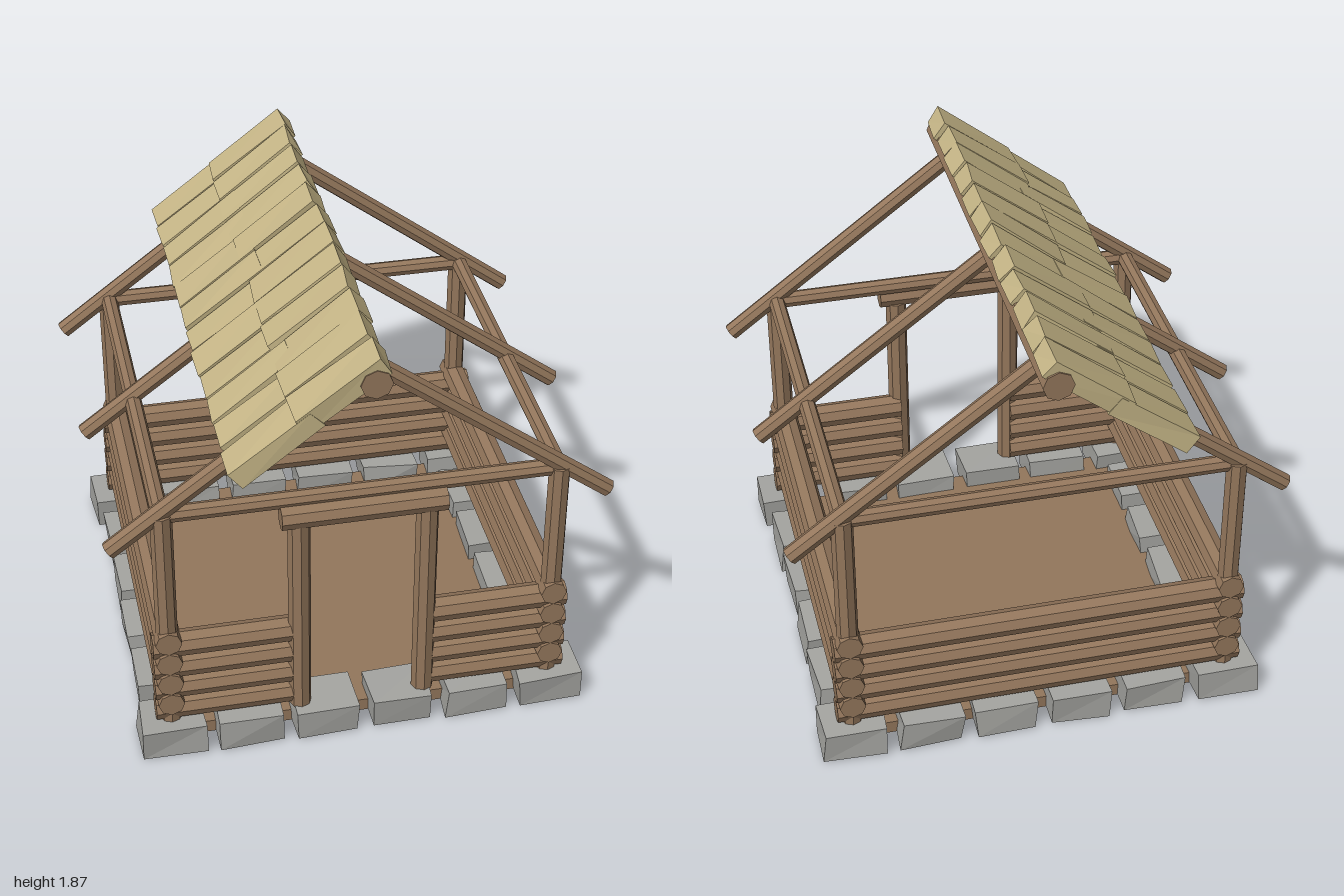
import * as THREE from 'three';

export function createModel() {
  const model = new THREE.Group();
  const mat = (name, color) => {
    const m = new THREE.MeshStandardMaterial({ color, flatShading: true });
    m.name = name;
    return m;
  };
  const wood = mat('wood', 0x94775c);
  const stone = mat('stone', 0xa6a6a2);
  const shingle = mat('shingle', 0xc6b687);

  let seed = 7;
  const rand = () => {
    seed = (seed * 16807) % 2147483647;
    return seed / 2147483647 - 0.5;
  };
  const add = (name, geo, material) => {
    const mesh = new THREE.Mesh(geo, material);
    mesh.name = name;
    model.add(mesh);
    return mesh;
  };

  // Eight-sided log between two points
  const up = new THREE.Vector3(0, 1, 0);
  const log = (name, from, to, r) => {
    const a = new THREE.Vector3(...from), b = new THREE.Vector3(...to);
    const dir = b.clone().sub(a);
    const mesh = add(name, new THREE.CylinderGeometry(r, r, dir.length(), 8), wood);
    mesh.position.copy(a).add(b).multiplyScalar(0.5);
    mesh.quaternion.setFromUnitVectors(up, dir.normalize());
    return mesh;
  };

  // Box with its eight corners nudged for a hand-cut look
  const roughBox = (w, h, d, jx, jy, jz) => {
    const geo = new THREE.BoxGeometry(w, h, d);
    const p = geo.attributes.position;
    const nudge = Array.from({ length: 8 }, () => [rand() * jx, rand() * jy, rand() * jz]);
    for (let i = 0; i < p.count; i++) {
      const k = (p.getX(i) > 0 ? 1 : 0) + (p.getY(i) > 0 ? 2 : 0) + (p.getZ(i) > 0 ? 4 : 0);
      p.setXYZ(i, p.getX(i) + nudge[k][0], p.getY(i) + nudge[k][1], p.getZ(i) + nudge[k][2]);
    }
    geo.computeVertexNormals();
    return geo;
  };

  // Floor slab
  add('floor', new THREE.BoxGeometry(1.52, 0.055, 1.52), wood).position.y = 0.03;

  // Foundation stones: six along front and back, four between on each side
  for (const s of [-1, 1]) {
    for (let i = 0; i < 6; i++) {
      add('foundationStone', roughBox(0.25, 0.132, 0.2, 0.02, 0.01, 0.02), stone)
        .position.set(-0.77 + i * 0.308, 0.069, s * 0.77);
    }
    for (let i = 0; i < 4; i++) {
      add('foundationStone', roughBox(0.2, 0.132, 0.25, 0.02, 0.01, 0.02), stone)
        .position.set(s * 0.77, 0.069, -0.465 + i * 0.31);
    }
  }

  // Interlocking wall logs, with a door gap in the front wall
  const W = 0.77, E = 0.83;
  for (let i = 0; i < 4; i++) {
    const yx = 0.185 + i * 0.105, yz = 0.235 + i * 0.103;
    log('backWallLog', [-E, yx, -W], [E, yx, -W], 0.053);
    for (const s of [-1, 1]) {
      log('frontWallLog', [s * 0.25, yx, W], [s * E, yx, W], 0.053);
      log('sideWallLog', [s * W, yz, -E], [s * W, yz, E], 0.052);
    }
  }

  // Corner posts, tie beams and side plates
  for (const s of [-1, 1]) {
    for (const t of [-1, 1]) log('cornerPost', [s * W, 0.13, t * 0.778], [s * W, 1.14, t * 0.778], 0.043);
    log('tieBeam', [-W, 1.132, s * W], [W, 1.132, s * W], 0.034);
    log('sidePlate', [s * W, 1.132, -W], [s * W, 1.132, W], 0.034);
  }

  // Door frame
  for (const s of [-1, 1]) log('doorPost', [s * 0.25, 0.13, 0.79], [s * 0.25, 1.04, 0.79], 0.045);
  log('doorLintel', [-0.322, 1.068, 0.797], [0.322, 1.068, 0.797], 0.049);

  // Rafters and ridge pole
  for (const z of [-0.775, 0, 0.775]) {
    for (const s of [-1, 1]) log('rafter', [s * 0.972, 1.0, z], [0, 1.733, z], 0.036);
  }
  log('ridgePole', [0, 1.75, -0.98], [0, 1.75, 0.98], 0.06);

  // Two overlapping rows of shingles on one slope
  const rows = [[-0.366, 1.514], [-0.122, 1.708]];
  for (const [x, y] of rows) {
    for (let i = 0; i < 12; i++) {
      const tile = add('roofShingle', roughBox(0.385, 0.082, 0.15, 0.012, 0.01, 0.016), shingle);
      tile.position.set(x + rand() * 0.008, y + rand() * 0.008, -0.897 + i * 0.163);
      tile.rotation.z = 0.65 + rand() * 0.02;
    }
  }
  return model;
}
